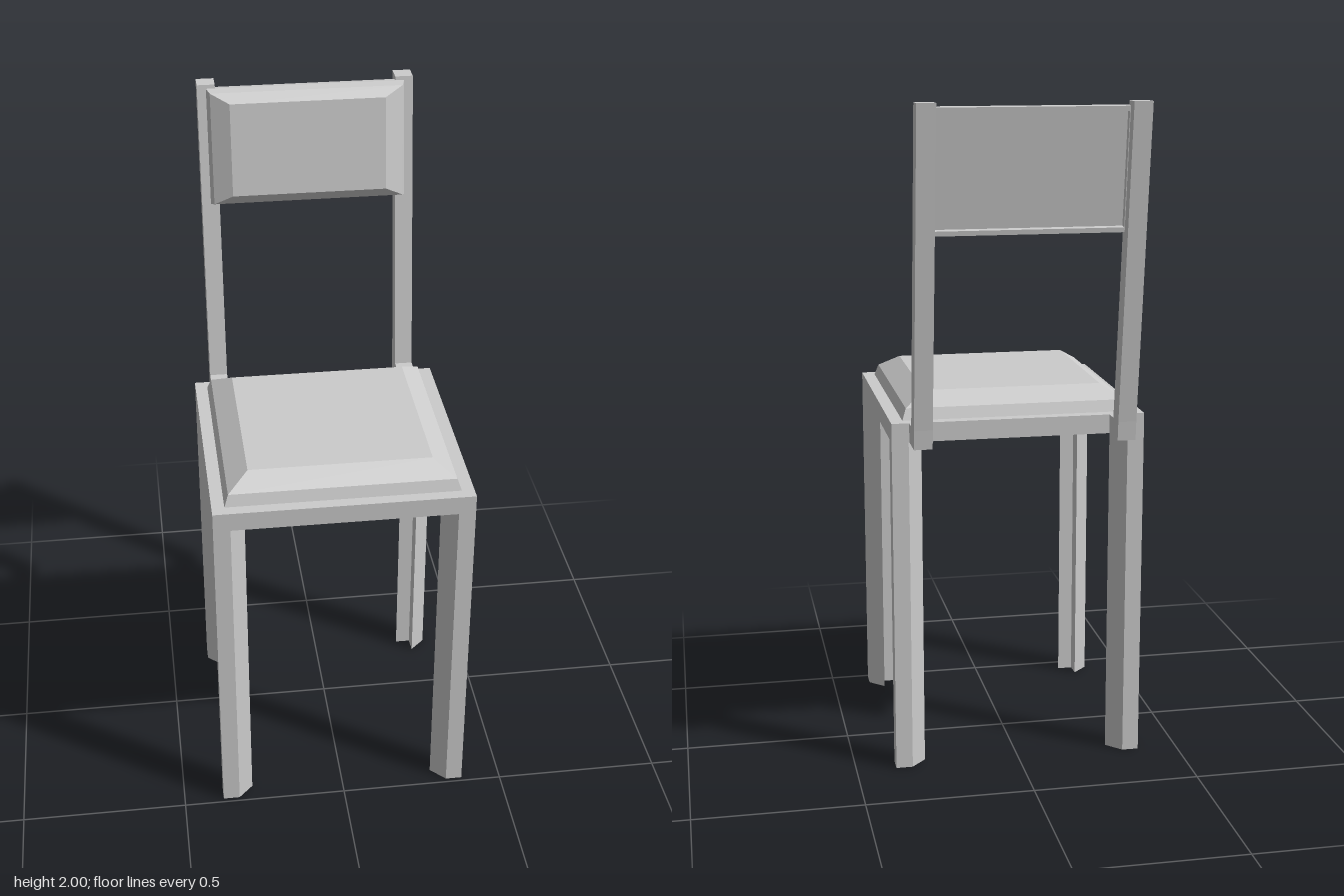
import * as THREE from 'three';

const material = new THREE.MeshStandardMaterial({ color: 0xcccccc, flatShading: true });

function mesh(name, geometry) {
  const m = new THREE.Mesh(geometry, material);
  m.name = name;
  return m;
}

const shapeOf = (pts) => new THREE.Shape(pts.map(([x, y]) => new THREE.Vector2(x, y)));
const extrude = (shape, depth) => new THREE.ExtrudeGeometry(shape, { depth, bevelEnabled: false });
const rect = (hx, hy) => [[-hx, -hy], [hx, -hy], [hx, hy], [-hx, hy]];

// Rectangular ring
function ringFrame(hx, hy, border, depth) {
  const s = shapeOf(rect(hx, hy));
  s.holes.push(new THREE.Path(shapeOf(rect(hx - border, hy - border)).getPoints()));
  return extrude(s, depth);
}

// Stepped pad lofted through rectangles [halfX, halfZ, y]
function cushion(levels) {
  const pos = [], idx = [];
  for (const [hx, hz, y] of levels) {
    pos.push(hx, y, hz, hx, y, -hz, -hx, y, -hz, -hx, y, hz);
  }
  const quad = (a, b, c, d) => idx.push(a, b, c, a, c, d);
  for (let l = 0; l < levels.length - 1; l++) {
    for (let i = 0; i < 4; i++) {
      const j = (i + 1) % 4, a = l * 4, b = a + 4;
      quad(a + i, a + j, b + j, b + i);
    }
  }
  const t = (levels.length - 1) * 4;
  quad(t, t + 1, t + 2, t + 3);
  quad(0, 3, 2, 1);
  const g = new THREE.BufferGeometry();
  g.setAttribute('position', new THREE.Float32BufferAttribute(pos, 3));
  g.setIndex(idx);
  const flat = g.toNonIndexed();
  flat.computeVertexNormals();
  return flat;
}

export function createModel() {
  const chair = new THREE.Group();
  chair.name = 'chair';
  const seatZ = 0.109, halfSeat = 0.379, halfDepth = 0.377;

  // Seat frame and the pad set into it
  const frame = mesh('seatFrame', ringFrame(halfSeat, halfDepth, 0.037, 0.057));
  frame.rotation.x = -Math.PI / 2;
  frame.position.set(0, 1.018, seatZ);
  const pad = mesh('seatCushion', cushion([
    [0.342, 0.342, -0.015], [0.342, 0.342, 0], [0.33, 0.33, 0.034], [0.268, 0.268, 0.073],
  ]));
  pad.position.set(0, 1.075, seatZ);
  chair.add(frame, pad);

  // Angle-section legs with bevelled flange ends, offsets from the outer corner
  const section = [[0, 0], [0.05, 0], [0.094, 0.046], [0.048, 0.046], [0.046, 0.094], [0, 0.05]];
  for (const sx of [-1, 1]) {
    for (const sz of [-1, 1]) {
      const pts = section.map(([u, v]) => [sx * (halfSeat - u), -(seatZ + sz * (halfDepth - v))]);
      const leg = mesh(`${sz > 0 ? 'front' : 'back'}${sx > 0 ? 'Left' : 'Right'}Leg`, extrude(shapeOf(pts), 1.018));
      leg.rotation.x = -Math.PI / 2;
      chair.add(leg);
    }
  }

  // Cranked back posts, profile as (distance behind centre, height)
  const profile = [[0.266, 1.018], [0.364, 1.018], [0.369, 1.075], [0.487, 2], [0.432, 2], [0.311, 1.075], [0.266, 1.075]];
  for (const sx of [-1, 1]) {
    const post = mesh(sx > 0 ? 'leftBackPost' : 'rightBackPost', extrude(shapeOf(profile), 0.054));
    post.rotation.y = Math.PI / 2;
    post.position.x = sx * 0.3 - 0.027;
    chair.add(post);
  }

  // Backrest, leaning with the posts; its frame sides run inside the posts
  const tilt = Math.atan2(0.121, 0.925);
  const backrest = new THREE.Group();
  backrest.name = 'backrest';
  backrest.position.set(0, 1.812, -0.311 - (1.812 - 1.075) * Math.tan(tilt));
  backrest.rotation.x = -tilt;
  const backPad = mesh('backCushion', cushion([
    [0.3, 0.178, 0], [0.291, 0.17, 0.031], [0.235, 0.141, 0.057],
  ]));
  backPad.rotation.x = Math.PI / 2;
  const backFrame = mesh('backFrame', ringFrame(0.285, 0.178, 0.014, 0.02));
  backFrame.position.z = -0.02;
  backrest.add(backPad, backFrame);
  chair.add(backrest);

  return chair;
}
